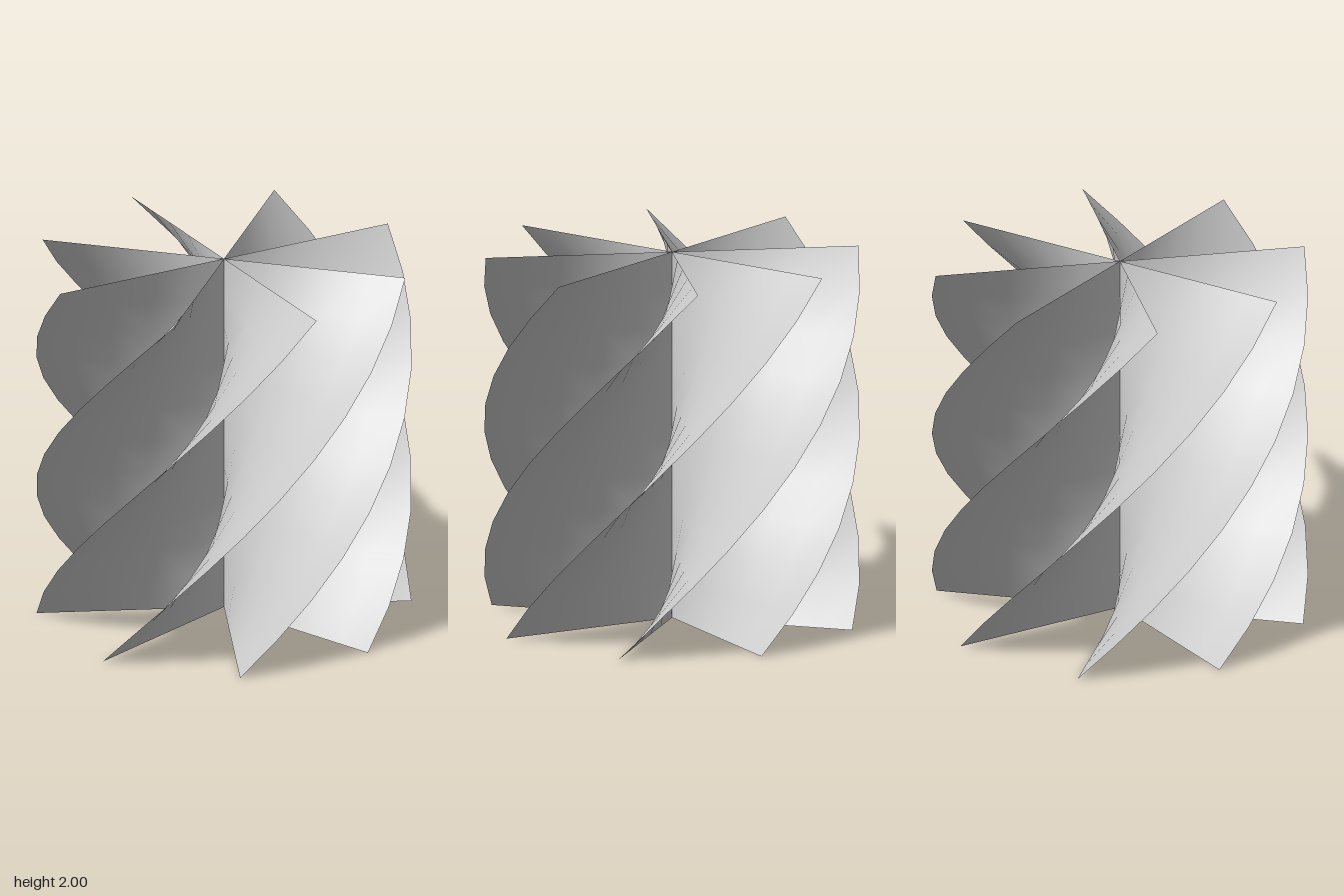
import * as THREE from 'three';

const RADIUS = 1, HEIGHT = 2, BLADES = 8;
const TWIST = 1; // radians of turn per unit of height

// A flat sheet from the axis to the rim, twisted about the vertical axis
function twistedBlade() {
  const geo = new THREE.PlaneGeometry(RADIUS, HEIGHT, 5, 10);
  geo.translate(RADIUS / 2, HEIGHT / 2, 0);
  const pos = geo.attributes.position;
  for (let i = 0; i < pos.count; i++) {
    const r = pos.getX(i), y = pos.getY(i), a = y * TWIST;
    pos.setXYZ(i, r * Math.sin(a), y, r * Math.cos(a));
  }
  geo.computeVertexNormals();
  return geo;
}

export function createModel() {
  const model = new THREE.Group();
  model.name = 'twistedRotor';
  const material = new THREE.MeshStandardMaterial({ color: 0xcccccc, side: THREE.DoubleSide });
  const geo = twistedBlade();

  // Equal blades around the shared axis
  for (let i = 0; i < BLADES; i++) {
    const blade = new THREE.Mesh(geo, material);
    blade.name = `blade${i + 1}`;
    blade.rotation.y = (i / BLADES) * Math.PI * 2;
    model.add(blade);
  }
  return model;
}
